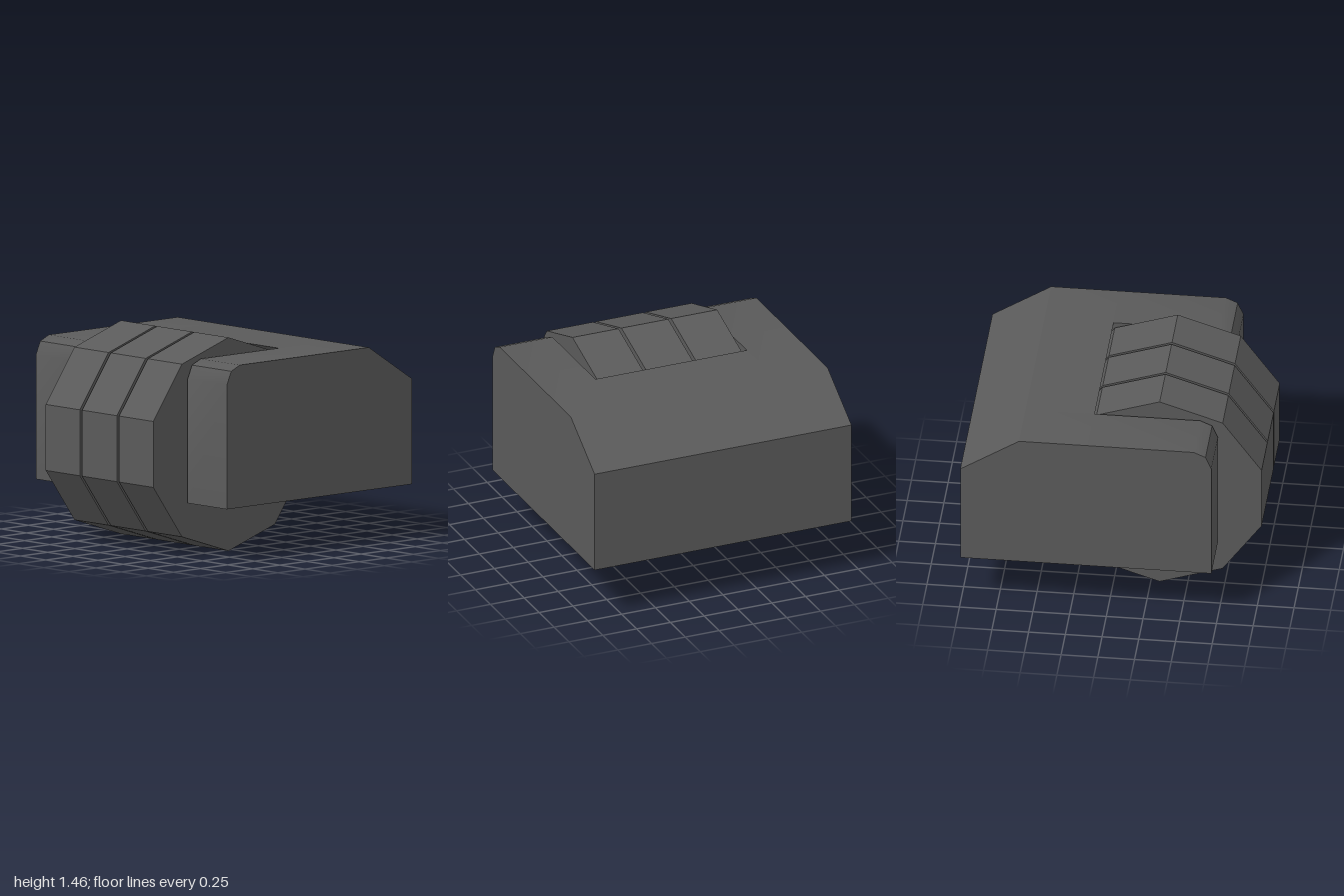
import * as THREE from 'three';
import { toCreasedNormals } from 'three/addons/utils/BufferGeometryUtils.js';

// Extrude a (z, y) profile across the width from x0 to x1
function extrudeAcross(points, x0, x1) {
  const shape = new THREE.Shape(points.map(([z, y]) => new THREE.Vector2(z, y)));
  const geometry = new THREE.ExtrudeGeometry(shape, { depth: x1 - x0, bevelEnabled: false });
  geometry.rotateY(-Math.PI / 2);
  geometry.translate(x1, 0, 0);
  return toCreasedNormals(geometry, 0.5);
}

// Regular ten-sided profile with a corner pointing straight up
function decagon(cz, cy, radius) {
  return Array.from({ length: 10 }, (_, i) => {
    const a = Math.PI / 2 + (i * Math.PI) / 5;
    return [cz + radius * Math.cos(a), cy + radius * Math.sin(a)];
  });
}

export function createModel() {
  const model = new THREE.Group();
  model.name = 'rollerUnit';
  const grey = new THREE.MeshStandardMaterial({ color: 0x5a5a5a });
  grey.name = 'darkGrey';

  const add = (name, points, x0, x1) => {
    const mesh = new THREE.Mesh(extrudeAcross(points, x0, x1), grey);
    mesh.name = name;
    model.add(mesh);
  };

  // Housing cheeks on both sides of the wheel slot, with a softened front top edge
  const cheek = [
    [-1, 0.37], [0.71, 0.37], [0.71, 1.22], [0.67, 1.31],
    [0.59, 1.345], [-0.6, 1.345], [-1, 1.09],
  ];
  add('leftCheek', cheek, 0.56, 0.95);
  add('rightCheek', cheek, -0.95, -0.56);

  // Rear of the housing, overhanging the wheels
  const rear = [
    [-1, 0.37], [-0.49, 0.37], [-0.49, 1.09], [-0.13, 1.345], [-0.6, 1.345], [-1, 1.09],
  ];
  add('rearHousing', rear, -0.56, 0.56);

  // Three ten-sided wheels side by side
  const wheel = decagon(0.31, 0.73, 0.73);
  add('rightWheel', wheel, -0.535, -0.195);
  add('middleWheel', wheel, -0.173, 0.173);
  add('leftWheel', wheel, 0.195, 0.535);

  // Hub joining the wheels, visible in the gaps
  add('hub', decagon(0.31, 0.765, 0.37), -0.3, 0.3);

  return model;
}
